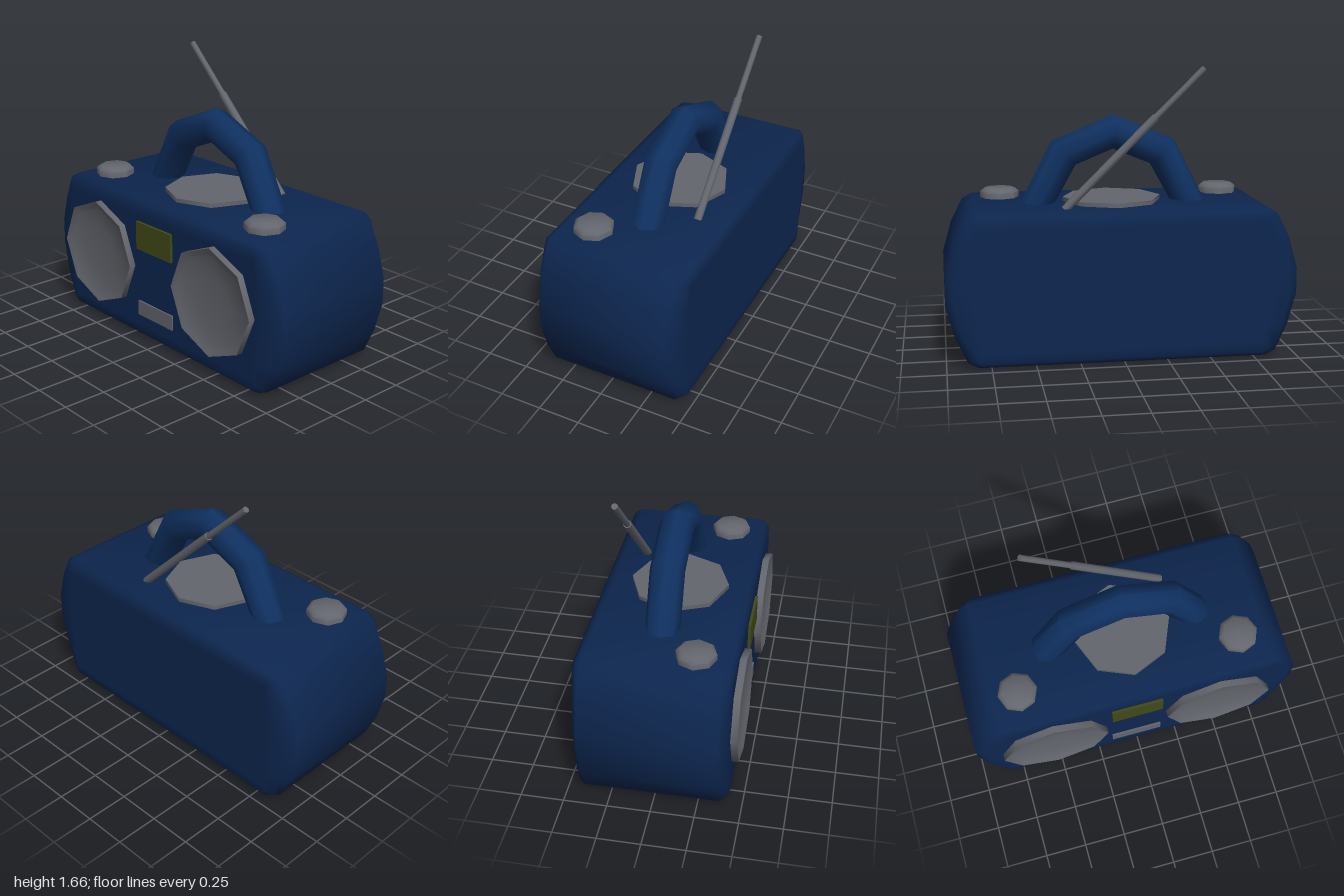
import * as THREE from 'three';
import { toCreasedNormals } from 'three/addons/utils/BufferGeometryUtils.js';

const blue = new THREE.MeshStandardMaterial({ color: 0x0d264f });
const handleBlue = new THREE.MeshStandardMaterial({ color: 0x0f3060 });
const grey = new THREE.MeshStandardMaterial({ color: 0x63666d });
const olive = new THREE.MeshStandardMaterial({ color: 0x414818 });

// Skin over a list of closed rings of [x, y, z], with fan caps at both ends
function loft(rings, crease) {
  const n = rings[0].length;
  const pos = rings.flat(2);
  const index = [];
  for (let r = 0; r < rings.length - 1; r++) {
    for (let i = 0; i < n; i++) {
      const a = r * n + i, b = r * n + (i + 1) % n;
      index.push(a, b, b + n, a, b + n, a + n);
    }
  }
  const last = (rings.length - 1) * n;
  for (let i = 1; i < n - 1; i++) {
    index.push(0, i + 1, i, last, last + i, last + i + 1);
  }
  const g = new THREE.BufferGeometry();
  g.setAttribute('position', new THREE.Float32BufferAttribute(pos, 3));
  g.setIndex(index);
  return toCreasedNormals(g, crease);
}

// Eight-sided turned part; profile is [radius, height] from bottom to top
function turned(profile, crease) {
  const pts = profile.map(([r, y]) => new THREE.Vector2(r, y));
  return toCreasedNormals(new THREE.LatheGeometry(pts, 8), crease);
}

export function createModel() {
  const model = new THREE.Group();
  const add = (name, geometry, material, x = 0, y = 0, z = 0) => {
    const mesh = new THREE.Mesh(geometry, material);
    mesh.name = name;
    mesh.position.set(x, y, z);
    model.add(mesh);
    return mesh;
  };

  // Case: bulging-end outline, bevelled towards the front and back
  const half = [[0.82, 0], [0.88, 0.03], [0.95, 0.18], [1, 0.36], [1, 0.51], [0.95, 0.69], [0.88, 0.83], [0.82, 0.865]];
  const outline = [...half, ...half.map(([x, y]) => [-x, y]).reverse()];
  // Each layer: z, share of the end bulge, height scale
  const layers = [
    [-0.457, 0.1, 0.8], [-0.457, 0.25, 0.92], [-0.435, 0.75, 0.97], [-0.405, 1, 1],
    [0.37, 1, 1], [0.4, 0.75, 0.97], [0.42, 0.25, 0.92], [0.42, 0.1, 0.8],
  ];
  const caseRings = layers.map(([z, bulge, sy]) => outline.map(([x, y]) => [
    Math.sign(x) * (0.8 + (Math.abs(x) - 0.8) * bulge), 0.4325 + (y - 0.4325) * sy, z]));
  add('case', loft(caseRings, 1.1), blue);

  // Speakers: raised octagonal rims with dished cones
  const speaker = turned([[0.323, 0], [0.323, 0.06], [0.295, 0.052], [0.27, 0.042], [0.15, 0.031], [0, 0.025]], 0.9);
  for (const [name, x] of [['rightSpeaker', -0.522], ['leftSpeaker', 0.498]]) {
    const s = add(name, speaker, grey, x, 0.449, 0.4);
    s.rotation.x = Math.PI / 2;
  }

  // Front panel
  add('display', new THREE.BoxGeometry(0.31, 0.17, 0.06), olive, -0.01, 0.655, 0.406);
  add('controlStrip', new THREE.BoxGeometry(0.31, 0.09, 0.06), grey, -0.01, 0.195, 0.4);

  // Top plate and knobs
  add('topPlate', turned([[0, 0], [0.288, 0], [0.288, 0.045], [0, 0.045]], 0.9), grey, 0.015, 0.845, -0.01);
  const knob = turned([[0, 0], [0.115, 0], [0.115, 0.055], [0.09, 0.075], [0, 0.075]], 0.95);
  add('rightKnob', knob, grey, -0.667, 0.845, 0.2);
  add('leftKnob', knob, grey, 0.66, 0.845, 0.2);

  // Carrying handle: ring centre x, y and outward direction in the front plane
  const d = Math.SQRT1_2;
  const path = [
    [-0.465, 0.8, -1, 0], [-0.28, 1.15, -d, d], [0.01, 1.27, 0, 1], [0.3, 1.15, d, d], [0.485, 0.8, 1, 0],
  ];
  const handleRings = path.map(([x, y, nx, ny]) => Array.from({ length: 8 }, (_, i) => {
    const a = i * Math.PI / 4, c = 0.1 * Math.cos(a);
    return [x + nx * c, y + ny * c, -0.03 + 0.1 * Math.sin(a)];
  }));
  add('handle', loft(handleRings, 1.0), handleBlue);

  // Telescopic antenna leaning to the model's right
  const rod = (name, from, to, radius) => {
    const a = new THREE.Vector3(...from), b = new THREE.Vector3(...to);
    const dir = b.clone().sub(a);
    const m = add(name, new THREE.CylinderGeometry(radius, radius, dir.length(), 8), grey);
    m.position.copy(a).add(b).multiplyScalar(0.5);
    m.quaternion.setFromUnitVectors(new THREE.Vector3(0, 1, 0), dir.normalize());
  };
  rod('antennaBase', [0.32, 0.86, -0.27], [-0.2, 1.375, -0.27], 0.024);
  rod('antennaTip', [-0.18, 1.355, -0.27], [-0.475, 1.645, -0.27], 0.018);

  return model;
}
